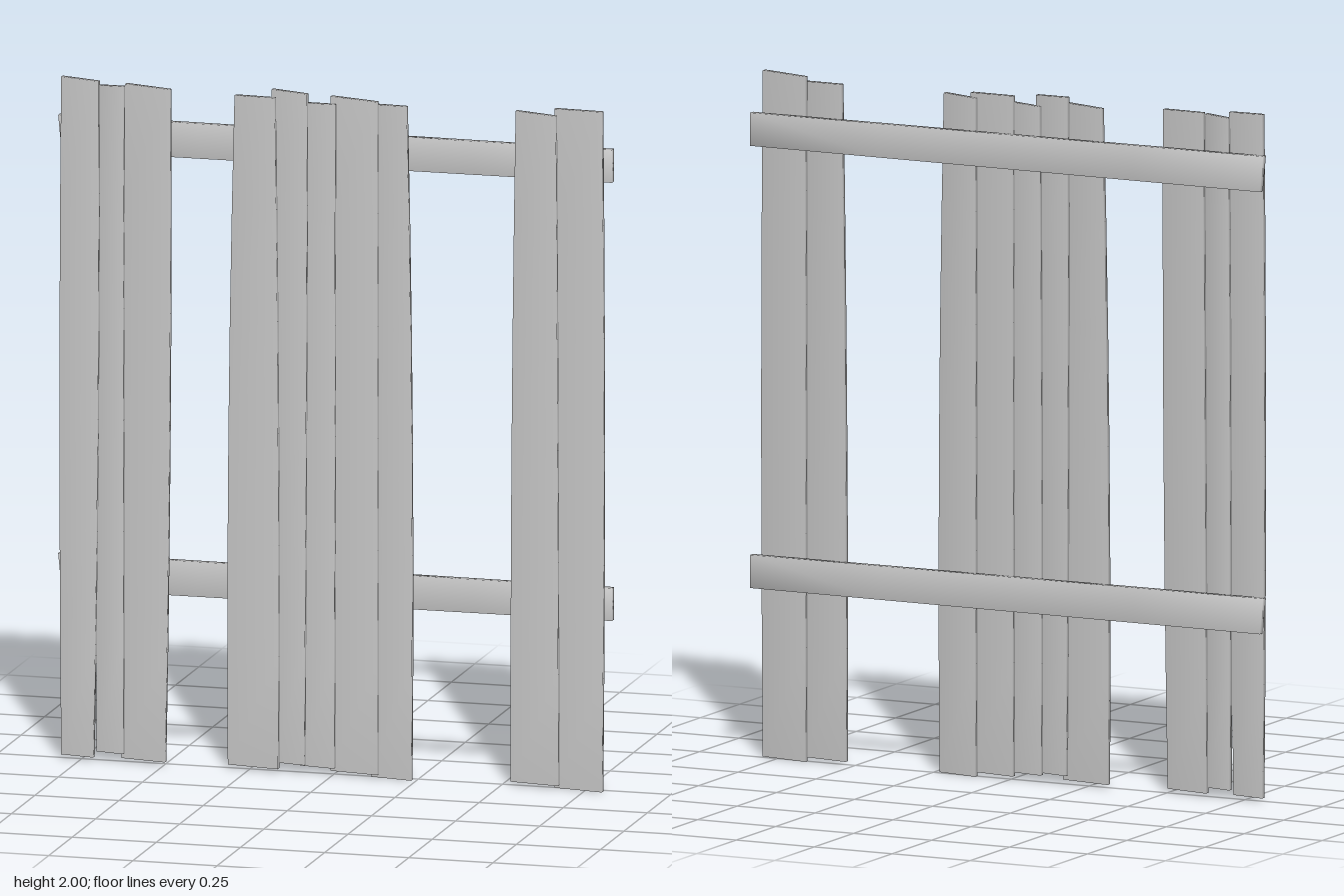
import * as THREE from 'three';
import { mergeVertices } from 'three/addons/utils/BufferGeometryUtils.js';

const material = new THREE.MeshStandardMaterial({ color: 0xcccccc });

// Box along y, reshaped by a rule, with corners welded for soft worn edges
function softBoard(segments, rule) {
  const geo = new THREE.BoxGeometry(1, 1, 1, 1, segments, 1);
  geo.deleteAttribute('uv');
  geo.deleteAttribute('normal');
  const welded = mergeVertices(geo);
  const p = welded.attributes.position;
  for (let i = 0; i < p.count; i++) {
    p.setXYZ(i, ...rule(p.getX(i) + 0.5, p.getY(i) + 0.5, p.getZ(i)));
  }
  welded.computeVertexNormals();
  return welded;
}

// Smooth curve through bottom, middle and top values
const bow = ([a, b, c], t) =>
  a * (1 - t) * (1 - 2 * t) + b * 4 * t * (1 - t) + c * t * (2 * t - 1);

// Each plank: left edge and right edge (bottom, middle, top), bottom y, top y, right edge z
const planks = [
  [[-0.81, -0.815, -0.81], [-0.71, -0.697, -0.695], 0.015, 2.0, 0.013],
  [[-0.705, -0.705, -0.7], [-0.622, -0.622, -0.62], 0.03, 1.985, 0.012],
  [[-0.63, -0.625, -0.62], [-0.495, -0.482, -0.48], 0.015, 1.99, 0.02],
  [[-0.315, -0.313, -0.295], [-0.16, -0.16, -0.17], 0.015, 1.98, 0.019],
  [[-0.18, -0.185, -0.185], [-0.083, -0.078, -0.075], 0.03, 2.0, 0.015],
  [[-0.1, -0.1, -0.095], [0.005, 0.007, 0.008], 0.025, 1.97, 0.013],
  [[-0.01, -0.01, -0.01], [0.135, 0.135, 0.135], 0.015, 1.99, 0.018],
  [[0.11, 0.11, 0.11], [0.236, 0.237, 0.222], 0.005, 1.978, 0.019],
  [[0.525, 0.528, 0.54], [0.672, 0.67, 0.665], 0.015, 1.98, 0.018],
  [[0.655, 0.655, 0.655], [0.803, 0.808, 0.803], 0.005, 1.997, 0.02],
];

export function createModel() {
  const model = new THREE.Group();

  // Upright planks, each turned slightly so its left edge sits against the rails
  const pickets = new THREE.Group();
  pickets.name = 'planks';
  planks.forEach(([left, right, y0, y1, zRight], i) => {
    const skew = (i % 2 ? 1 : -1) * 0.004;
    const geo = softBoard(6, (u, t, w) => [
      THREE.MathUtils.lerp(bow(left, t), bow(right, t), u),
      y0 + (y1 - y0) * t + skew * (u - 0.5) * t,
      THREE.MathUtils.lerp(-0.004, zRight, u) + w * 0.016,
    ]);
    const plank = new THREE.Mesh(geo, material);
    plank.name = `plank${i + 1}`;
    pickets.add(plank);
  });
  model.add(pickets);

  // Two cross rails behind the planks, slightly taller at one end
  [['lowerRail', 0.548], ['upperRail', 1.833]].forEach(([name, y]) => {
    const geo = softBoard(4, (u, t, w) => [
      THREE.MathUtils.lerp(0.822, -0.824 + 0.01 * (1 - u), t),
      y + (u - 0.5) * (0.096 + 0.008 * t),
      -0.022 + w * 0.019 - 0.002 * t,
    ]);
    const rail = new THREE.Mesh(geo, material);
    rail.name = name;
    model.add(rail);
  });

  return model;
}
